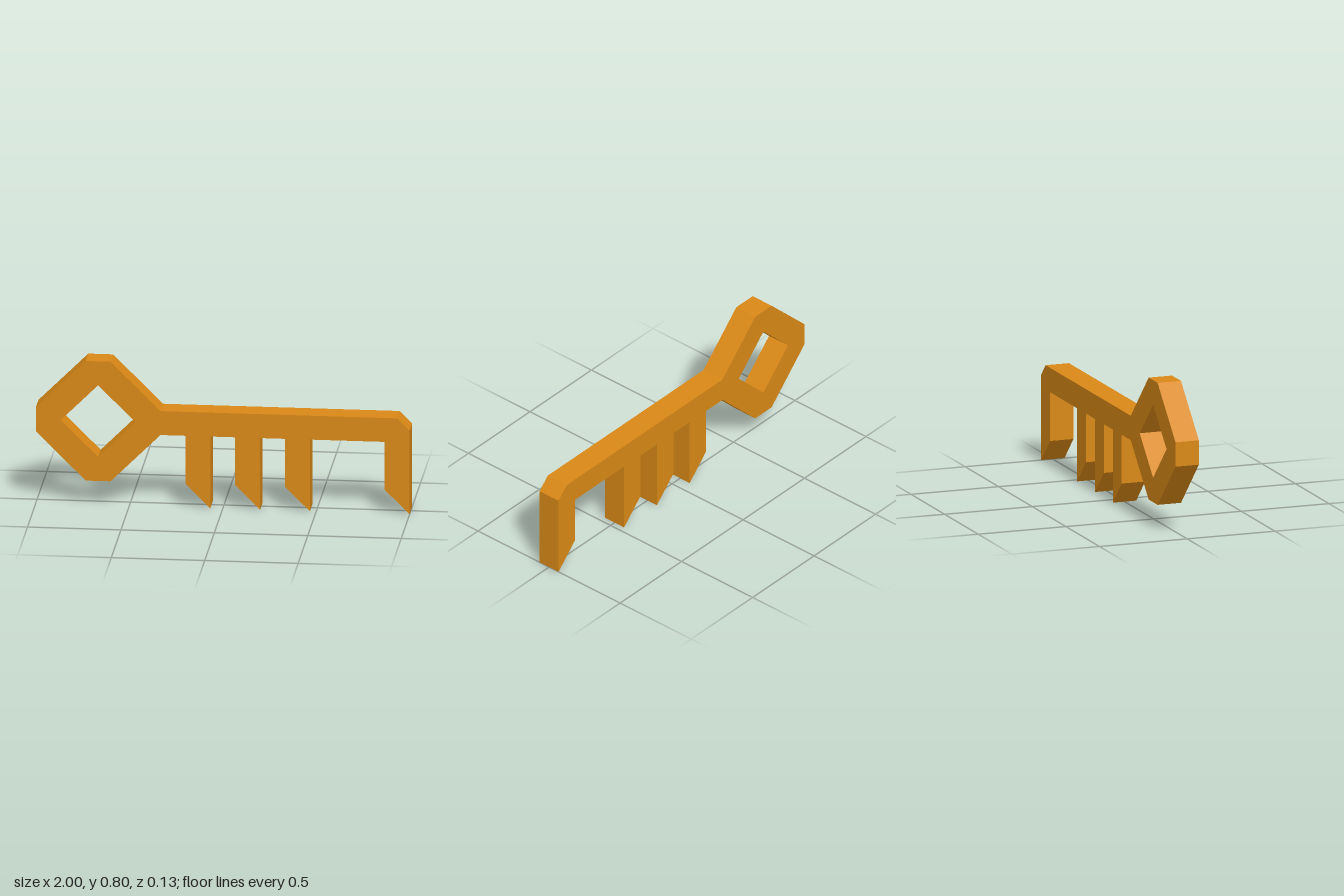
import * as THREE from 'three';

const U = 1 / 15; // grid unit of the outline
const DEPTH = 2 * U;

export function createModel() {
  const group = new THREE.Group();
  group.name = 'key';
  const points = (list) => list.map(([x, y]) => new THREE.Vector2(x * U, y * U));

  // Teeth hang from the shaft's underside, each with a slanted tip (right to left)
  const tooth = (right) => [[right, 6], [right, 0], [right - 2, 2], [right - 2, 6]];
  const teeth = [15, 7, 3, -1].flatMap(tooth).slice(1); // the end tooth is flush with the shaft end

  // One continuous outline, clockwise: bow top, shaft, teeth, bow bottom
  const outline = new THREE.Shape(points([
    [-15, 8], [-11, 12], [-9, 12], [-5, 8],
    [14, 8], [15, 7],
    ...teeth,
    [-5, 6], [-9, 2], [-11, 2], [-15, 6],
  ]));

  // Diamond opening in the bow
  outline.holes.push(new THREE.Path(points([[-13, 7], [-10, 4], [-7, 7], [-10, 10]])));

  const geometry = new THREE.ExtrudeGeometry(outline, { depth: DEPTH, bevelEnabled: false });
  geometry.translate(0, 0, -DEPTH / 2);

  const body = new THREE.Mesh(
    geometry,
    new THREE.MeshStandardMaterial({ color: 0xd98816, flatShading: true }),
  );
  body.name = 'keyBody';
  group.add(body);
  return group;
}
